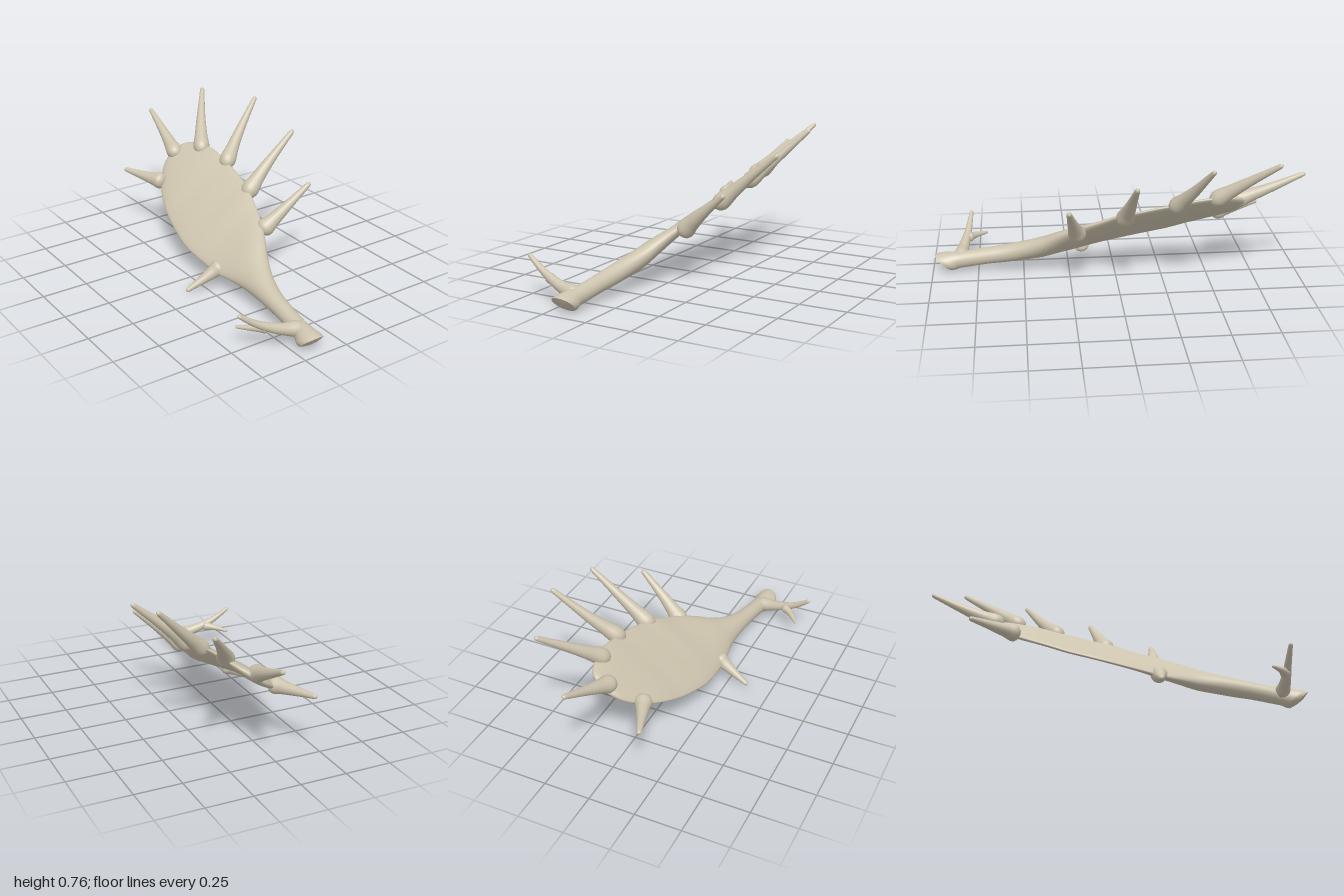
import * as THREE from 'three';

const bone = new THREE.MeshStandardMaterial({ color: 0xcdc4ae });
bone.name = 'bone';

// Skin a list of closed rings (arrays of Vector3 with equal counts)
function skin(name, rings) {
  const n = rings[0].length, index = [];
  for (let i = 0; i < rings.length - 1; i++) {
    for (let j = 0; j < n; j++) {
      const a = i * n + j, b = i * n + (j + 1) % n;
      index.push(a, b, a + n, b, b + n, a + n);
    }
  }
  const g = new THREE.BufferGeometry();
  g.setAttribute('position', new THREE.Float32BufferAttribute(rings.flat().flatMap(p => p.toArray()), 3));
  g.setIndex(index);
  g.computeVertexNormals();
  const mesh = new THREE.Mesh(g, bone);
  mesh.name = name;
  return mesh;
}

// Elliptical section: z, centre x, centre y, half width, half thickness, roll in degrees, lean
function section([z, cx, cy, w, t, roll, lean], n = 40) {
  const c = Math.cos(roll * Math.PI / 180), s = Math.sin(roll * Math.PI / 180);
  return Array.from({ length: n }, (_, j) => {
    const a = j / n * Math.PI * 2, u = w * Math.cos(a), v = t * Math.sin(a);
    const dy = u * s - v * c;
    return new THREE.Vector3(cx + u * c + v * s, cy + dy, z + lean * dy);
  });
}

// Smooth (Catmull-Rom) value between b and c
function blend(a, b, c, d, f) {
  const k1 = c - a;
  const k2 = 2 * a - 5 * b + 4 * c - d;
  const k3 = 3 * (b - c) + d - a;
  return b + 0.5 * f * (k1 + f * (k2 + f * k3));
}

// Smooth interpolation between the rows of a section table
function refine(rows, steps) {
  const out = [], last = rows.length - 1;
  for (let i = 0; i < last; i++) {
    const p0 = rows[Math.max(i - 1, 0)], p1 = rows[i], p2 = rows[i + 1], p3 = rows[Math.min(i + 2, last)];
    for (let k = 0; k < steps; k++) {
      out.push(p1.map((b, q) => blend(p0[q], b, p2[q], p3[q], k / steps)));
    }
  }
  out.push(rows[last]);
  return out;
}

// Radius along a tine: swollen root, long taper, rounded tip
const taper = [[0, 0], [0.01, 0.02], [0.05, 0.038], [0.11, 0.046], [0.18, 0.043], [0.26, 0.037], [0.4, 0.031],
  [0.6, 0.0235], [0.8, 0.0175], [0.94, 0.0135], [0.975, 0.0115], [0.992, 0.007], [1, 0]];

function tine(name, points, scale, n = 20) {
  const curve = new THREE.CatmullRomCurve3(points.map(p => new THREE.Vector3(...p)));
  const steps = 200, frames = curve.computeFrenetFrames(steps, false);
  const rings = refine(taper, 3).map(([t, r]) => {
    const u = Math.min(Math.max(t, 0), 1), i = Math.round(u * steps);
    const c = curve.getPointAt(u), rad = Math.max(r, 0) * scale;
    return Array.from({ length: n }, (_, j) => {
      const a = j / n * Math.PI * 2;
      return c.clone().addScaledVector(frames.normals[i], rad * Math.cos(a))
        .addScaledVector(frames.binormals[i], rad * Math.sin(a));
    });
  });
  return skin(name, rings);
}

export function createModel() {
  const group = new THREE.Group();
  group.name = 'antler';

  // Beam from the burr, flattening into the tilted palm
  const rows = [
    [0.94, -0.168, 0.047, 0.060, 0.045, 0, 1.1],
    [0.915, -0.168, 0.052, 0.062, 0.047, 0, 0.95],
    [0.88, -0.165, 0.058, 0.052, 0.046, 0, 0.6],
    [0.83, -0.158, 0.064, 0.043, 0.045, 10, 0.2],
    [0.7, -0.146, 0.085, 0.046, 0.046, 25, 0],
    [0.6, -0.136, 0.100, 0.052, 0.049, 35, 0],
    [0.5, -0.122, 0.119, 0.067, 0.051, 38, 0],
    [0.4, -0.102, 0.143, 0.094, 0.052, 39, 0],
    [0.3, -0.083, 0.177, 0.137, 0.047, 39, 0],
    [0.2, -0.068, 0.206, 0.180, 0.038, 38, 0],
    [0.1, -0.055, 0.235, 0.205, 0.031, 37, 0],
    [0, -0.043, 0.265, 0.228, 0.028, 37, 0],
    [-0.1, -0.030, 0.288, 0.240, 0.026, 36, 0],
    [-0.2, -0.015, 0.313, 0.240, 0.026, 36, 0],
    [-0.3, 0.000, 0.336, 0.233, 0.026, 36, 0],
    [-0.4, 0.016, 0.365, 0.220, 0.026, 36, 0],
    [-0.5, 0.035, 0.390, 0.193, 0.026, 36, 0],
    [-0.6, 0.055, 0.412, 0.142, 0.026, 36, 0],
    [-0.66, 0.068, 0.427, 0.085, 0.022, 36, 0],
    [-0.69, 0.074, 0.434, 0, 0, 36, 0]
  ];
  group.add(skin('beamAndPalm', refine(rows, 4).map(r => section(r))));

  // Slightly domed face of the burr
  const face = [[0, 0.008], [0.4, 0.007], [0.8, 0.003], [1, 0]].map(([f, d]) =>
    section([0.94 + d, -0.168, 0.047 - d, 0.060 * f, 0.045 * f, 0, 1.1]));
  group.add(skin('burrFace', face));

  // Tines round the palm edge: root, middle, tip, thickness
  const tines = [
    ['rearTine', [0.055, 0.43, -0.61], [0.085, 0.51, -0.80], [0.108, 0.60, -0.998], 1],
    ['rearUpperTine', [0.145, 0.468, -0.49], [0.24, 0.595, -0.64], [0.362, 0.738, -0.81], 1],
    ['upperTine', [0.165, 0.445, -0.285], [0.31, 0.585, -0.365], [0.488, 0.76, -0.442], 1],
    ['middleTine', [0.125, 0.368, -0.03], [0.28, 0.51, -0.05], [0.475, 0.675, -0.064], 1.05],
    ['forwardTine', [0.055, 0.265, 0.205], [0.18, 0.375, 0.238], [0.338, 0.508, 0.268], 1.05],
    ['rearLowerTine', [-0.075, 0.325, -0.54], [-0.125, 0.33, -0.66], [-0.185, 0.34, -0.81], 1],
    ['lowerTine', [-0.165, 0.13, 0.18], [-0.25, 0.08, 0.165], [-0.368, 0.018, 0.143], 0.95]
  ];
  for (const [name, root, mid, tip, scale] of tines) group.add(tine(name, [root, mid, tip], scale));

  // Forked brow tine beside the burr
  group.add(tine('browTine', [[-0.14, 0.07, 0.85], [-0.26, 0.095, 0.832], [-0.38, 0.145, 0.807], [-0.49, 0.22, 0.788]], 0.88));
  group.add(tine('browFork', [[-0.33, 0.118, 0.815], [-0.385, 0.112, 0.768], [-0.443, 0.103, 0.70]], 0.6));
  return group;
}
